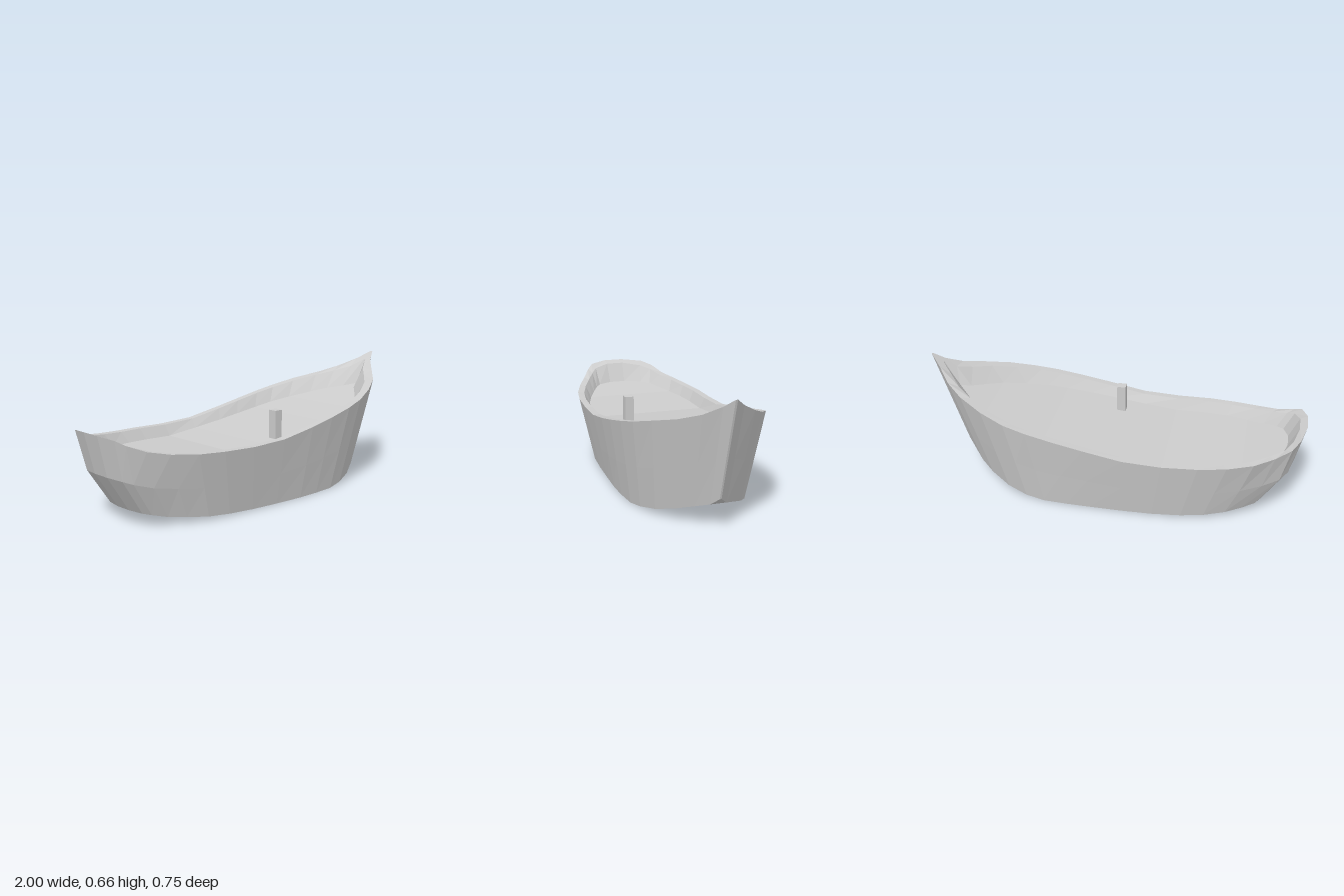
import * as THREE from 'three';

// Plan stations: x, right-hand edge (-z), left-hand edge (+z)
const STATIONS = [
  [-1, -0.05, 0.06], [-0.97, -0.17, 0.15], [-0.93, -0.23, 0.185], [-0.85, -0.27, 0.23],
  [-0.75, -0.32, 0.28], [-0.62, -0.355, 0.325], [-0.48, -0.375, 0.35], [-0.3, -0.38, 0.36],
  [-0.1, -0.376, 0.367], [0.1, -0.37, 0.375], [0.25, -0.365, 0.372], [0.4, -0.355, 0.36],
  [0.52, -0.335, 0.335], [0.65, -0.285, 0.285], [0.78, -0.205, 0.21], [0.87, -0.13, 0.125],
  [0.94, -0.045, 0.055], [1, 0.012, 0.022],
];
// Height curves as [x, y]
const SHEER = [[-1, 0.46], [-0.95, 0.44], [-0.92, 0.415], [-0.85, 0.39], [-0.75, 0.37], [-0.6, 0.355],
  [-0.3, 0.345], [-0.1, 0.352], [0, 0.368], [0.2, 0.405], [0.5, 0.465], [0.8, 0.54], [0.88, 0.575], [1, 0.66]];
const KEEL = [[-0.83, 0.07], [-0.7, 0.04], [-0.5, 0.018], [-0.2, 0.003], [0, 0], [0.33, 0],
  [0.5, 0.02], [0.65, 0.065], [0.79, 0.12], [0.83, 0.155]];
const DECK = [[-0.91, 0.338], [-0.7, 0.305], [-0.3, 0.287], [0, 0.318], [0.3, 0.36], [0.6, 0.415], [0.86, 0.48]];

function heightAt(curve, x) {
  const n = curve.length;
  if (x <= curve[0][0]) return curve[0][1];
  for (let i = 1; i < n; i++) {
    const [x0, y0] = curve[i - 1], [x1, y1] = curve[i];
    if (x <= x1) return y0 + (y1 - y0) * (x - x0) / (x1 - x0);
  }
  return curve[n - 1][1];
}

// Closed loop, counter-clockwise from above: +z edge forwards, then -z edge back
const OUTLINE = [...STATIONS.map(s => [s[0], s[2]]), ...STATIONS.map(s => [s[0], s[1]]).reverse()];
const N = OUTLINE.length;

function ring(scaleX, shiftX, scaleZ, heightOf) {
  return OUTLINE.map(([x, z]) => {
    const px = x * scaleX + shiftX;
    return [px, heightOf(px), z * scaleZ];
  });
}

function quad(out, a, b, c, d) {
  out.push(...a, ...b, ...c, ...a, ...c, ...d);
}

function wall(...rings) {
  const out = [];
  for (let r = 0; r + 1 < rings.length; r++) {
    for (let i = 0; i < N; i++) {
      const j = (i + 1) % N;
      quad(out, rings[r][i], rings[r][j], rings[r + 1][j], rings[r + 1][i]);
    }
  }
  return out;
}

// Cross strips joining the two edges of a ring
function cap(loop, up) {
  const out = [];
  for (let i = 0; i + 1 < N / 2; i++) {
    const a = loop[i], b = loop[i + 1], c = loop[N - 2 - i], d = loop[N - 1 - i];
    if (up) quad(out, a, b, c, d);
    else quad(out, d, c, b, a);
  }
  return out;
}

export function createModel() {
  const group = new THREE.Group();
  group.name = 'boat';
  const grey = new THREE.MeshStandardMaterial({ color: 0xcccccc });
  grey.name = 'plain grey';

  const add = (name, positions) => {
    const g = new THREE.BufferGeometry();
    g.setAttribute('position', new THREE.Float32BufferAttribute(positions, 3));
    g.computeVertexNormals();
    const mesh = new THREE.Mesh(g, grey);
    mesh.name = name;
    group.add(mesh);
  };

  const bottom = ring(0.83, 0, 0.82, x => heightAt(KEEL, x));
  const rimOuter = ring(1, 0, 1, x => heightAt(SHEER, x));
  const rimInner = ring(0.95, -0.012, 0.9, x => heightAt(SHEER, x));
  const deck = ring(0.885, -0.025, 0.82, x => heightAt(DECK, x));

  // Halfway ring, pushed aft at the stern for its knuckle
  const knuckle = bottom.map((b, i) => {
    const p = b.map((v, k) => v + (rimOuter[i][k] - v) * 0.47);
    p[0] -= 0.04 * THREE.MathUtils.smoothstep(-p[0], 0.6, 0.9);
    return p;
  });

  add('hullSides', wall(bottom, knuckle, rimOuter));
  add('hullBottom', cap(bottom, false));
  add('rim', wall(rimOuter, rimInner));
  add('bulwark', wall(rimInner, deck));
  add('deck', cap(deck, true));

  // Square post standing on the deck
  const post = new THREE.Mesh(new THREE.BoxGeometry(0.046, 0.165, 0.046), grey);
  post.name = 'post';
  post.position.set(0, 0.3825, 0.202);
  group.add(post);
  return group;
}
